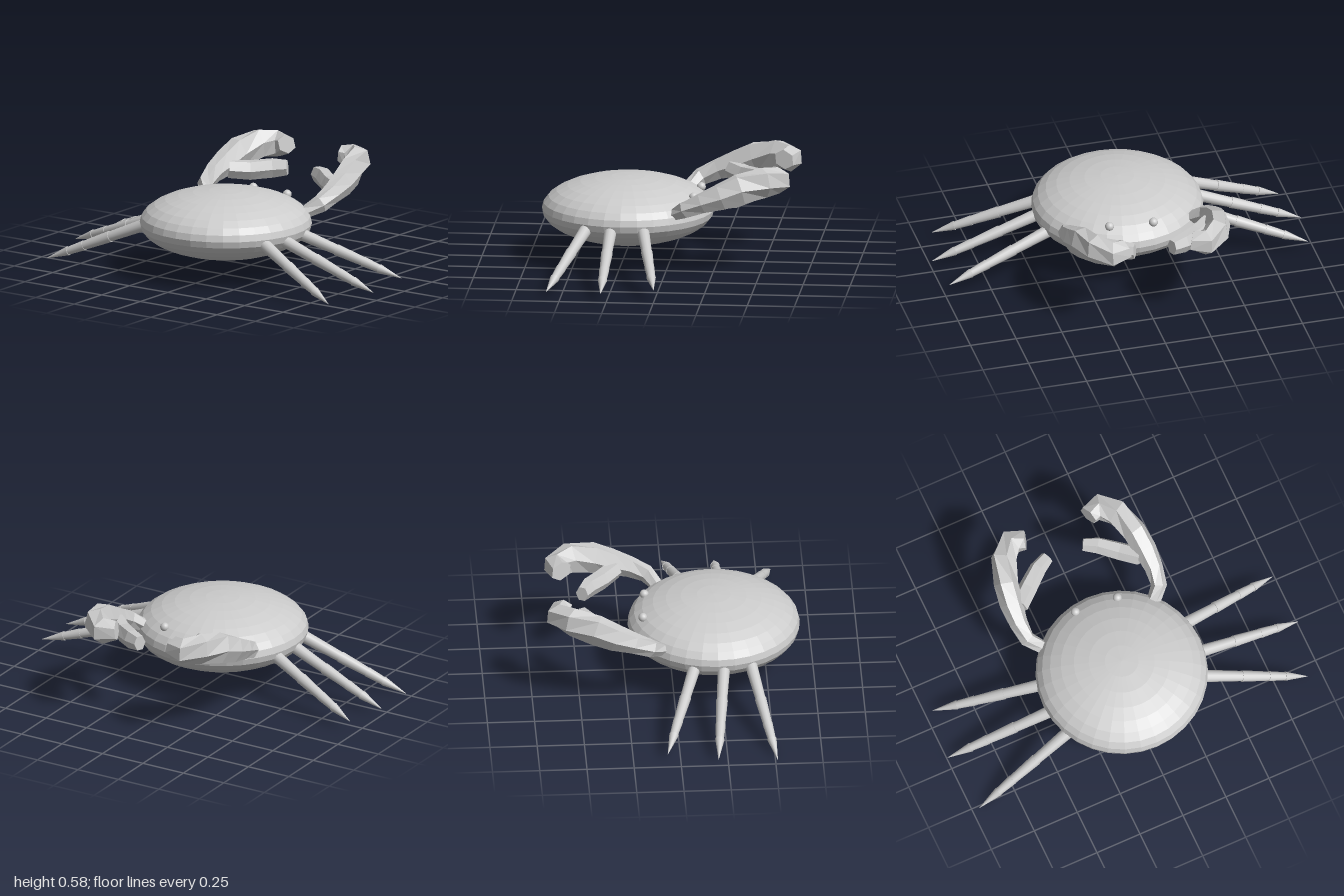
import * as THREE from 'three';

const mat = new THREE.MeshStandardMaterial({ color: 0xcccccc, flatShading: true });
const smooth = new THREE.MeshStandardMaterial({ color: 0xcccccc });

function add(parent, name, geometry, material) {
  const mesh = new THREE.Mesh(geometry, material);
  mesh.name = name;
  parent.add(mesh);
  return mesh;
}

// Six-sided loft through sections [x, y, z, width, height, roll]; side = -1 mirrors in z
function loft(sections, side) {
  const N = 6, pos = [], index = [];
  const pts = sections.map(s => new THREE.Vector3(s[0], s[1], s[2]));
  sections.forEach(([, , , w, h, roll = 0], i) => {
    const dir = pts[Math.min(i + 1, pts.length - 1)].clone().sub(pts[Math.max(i - 1, 0)]).normalize();
    const across = new THREE.Vector3(0, 1, 0).cross(dir).normalize();
    const up = dir.clone().cross(across);
    across.applyAxisAngle(dir, roll);
    up.applyAxisAngle(dir, roll);
    for (let k = 0; k < N; k++) {
      const a = k / N * Math.PI * 2;
      const p = pts[i].clone()
        .addScaledVector(across, Math.cos(a) * w / 2)
        .addScaledVector(up, Math.sin(a) * h / 2 / 0.866);
      pos.push(p.x, p.y, p.z * side);
    }
  });
  const tri = (a, b, c) => side > 0 ? index.push(a, b, c) : index.push(a, c, b);
  const last = (sections.length - 1) * N;
  for (let i = 0; i < last; i += N) {
    for (let k = 0; k < N; k++) {
      const a = i + k, b = i + (k + 1) % N;
      tri(a, b, b + N);
      tri(a, b + N, a + N);
    }
  }
  // End caps
  for (let k = 1; k < N - 1; k++) {
    tri(0, k + 1, k);
    tri(last, last + k, last + k + 1);
  }
  const g = new THREE.BufferGeometry();
  g.setAttribute('position', new THREE.Float32BufferAttribute(pos, 3));
  g.setIndex(index);
  const flat = g.toNonIndexed();
  flat.computeVertexNormals();
  return flat;
}

// Leg made of three overlapping tapered segments and a pointed tip
function makeLeg(name, from, to) {
  const leg = new THREE.Group();
  leg.name = name;
  const start = new THREE.Vector3(...from), dir = new THREE.Vector3(...to).sub(start);
  const length = dir.length();
  const segments = [
    ['upperSegment', -0.08, 0.37, 0.034, 0.027],
    ['middleSegment', 0.34, 0.64, 0.031, 0.024],
    ['lowerSegment', 0.61, 0.79, 0.027, 0.021],
    ['legTip', 0.775, 1, 0.025, 0.001],
  ];
  for (const [part, a, b, r0, r1] of segments) {
    const g = new THREE.CylinderGeometry(r1, r0, (b - a) * length, 14);
    add(leg, part, g, smooth).position.y = (a + b) / 2 * length;
  }
  leg.position.copy(start);
  leg.quaternion.setFromUnitVectors(new THREE.Vector3(0, 1, 0), dir.normalize());
  return leg;
}

export function createModel() {
  const model = new THREE.Group();
  model.name = 'crab';

  // Flattened round shell
  const shell = add(model, 'body', new THREE.SphereGeometry(1, 32, 16), mat);
  shell.scale.set(0.456, 0.177, 0.456);
  shell.position.set(-0.225, 0.28, 0);

  // Eyes
  for (const [name, x, z] of [['leftEye', 0.155, -0.095], ['rightEye', 0.135, 0.14]]) {
    add(model, name, new THREE.SphereGeometry(0.024, 16, 10), smooth).position.set(x, 0.38, z);
  }

  // Three legs on each side
  const legs = [
    [[-0.42, 0.24, 0.41], [-0.575, 0.035, 0.92]],
    [[-0.28, 0.245, 0.43], [-0.28, 0.05, 1.0]],
    [[-0.105, 0.245, 0.42], [0.0, 0.07, 0.98]],
    [[-0.405, 0.24, -0.41], [-0.512, 0.003, -0.96]],
    [[-0.255, 0.245, -0.43], [-0.197, 0.04, -1.0]],
    [[-0.10, 0.245, -0.41], [0.07, 0.06, -0.965]],
  ];
  legs.forEach(([from, to], i) => model.add(makeLeg('leg' + (i + 1), from, to)));

  // Curved arm ending in the large finger, and the small inner finger
  const arm = [
    [0.065, 0.325, 0.325, 0.075, 0.06],
    [0.12, 0.365, 0.38, 0.085, 0.085],
    [0.21, 0.405, 0.39, 0.1, 0.1],
    [0.31, 0.44, 0.385, 0.125, 0.13],
    [0.41, 0.48, 0.37, 0.13, 0.15],
    [0.535, 0.508, 0.325, 0.14, 0.145, 0.25],
    [0.605, 0.505, 0.25, 0.14, 0.125, 0.45],
    [0.58, 0.515, 0.18, 0.12, 0.085, 0.45],
  ];
  const finger = [
    [0.29, 0.415, 0.35, 0.1, 0.09],
    [0.365, 0.405, 0.265, 0.1, 0.095],
    [0.44, 0.415, 0.17, 0.09, 0.095],
    [0.475, 0.42, 0.1, 0.07, 0.075],
  ];
  for (const side of [1, -1]) {
    const claw = new THREE.Group();
    claw.name = side > 0 ? 'rightClaw' : 'leftClaw';
    add(claw, 'armAndLargeFinger', loft(arm, side), mat);
    add(claw, 'smallFinger', loft(finger, side), mat);
    claw.position.set(side > 0 ? -0.008 : 0.006, 0, -0.008);
    model.add(claw);
  }
  return model;
}
